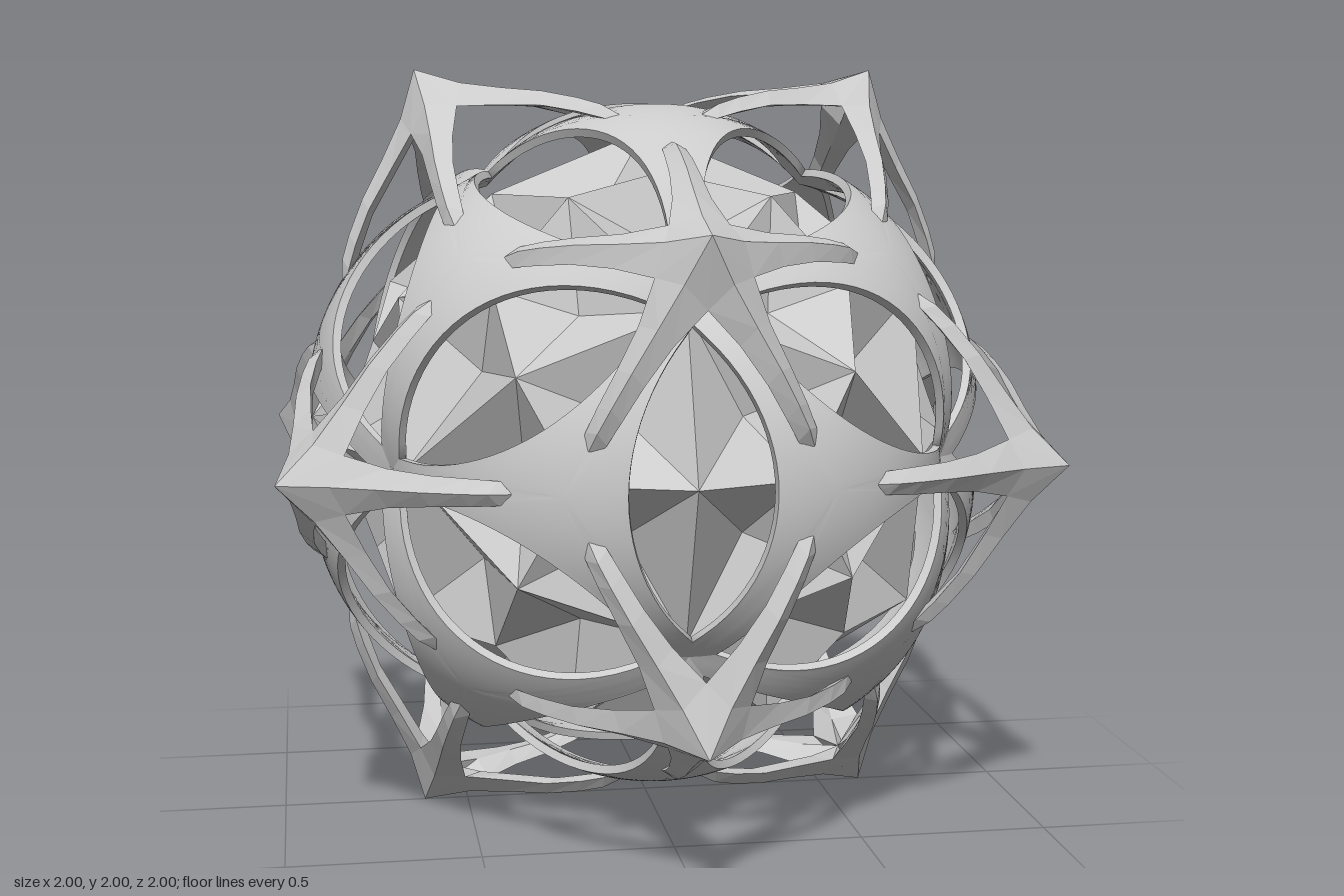
import * as THREE from 'three';

const V = (x, y, z) => new THREE.Vector3(x, y, z);
const G = (Math.sqrt(5) - 1) / 2;
const grey = (opts = {}) => new THREE.MeshStandardMaterial({ color: 0xcccccc, ...opts });

// The twelve corners of an icosahedron and its twenty triangles
const corners = [];
for (const a of [-1, 1]) for (const b of [-1, 1]) {
  corners.push(V(a * G, b, 0), V(0, a * G, b), V(b, 0, a * G));
}
const near = (a, b) => a.distanceTo(b) < 1.3;
const faces = [];
for (let i = 0; i < 12; i++) for (let j = i + 1; j < 12; j++) for (let k = j + 1; k < 12; k++) {
  const [a, b, c] = [corners[i], corners[j], corners[k]];
  if (near(a, b) && near(b, c) && near(a, c)) {
    // counter-clockwise seen from outside
    const n = b.clone().sub(a).cross(c.clone().sub(a));
    faces.push(n.dot(a) > 0 ? [a, b, c] : [a, c, b]);
  }
}
const faceCentre = (f) => f[0].clone().add(f[1]).add(f[2]).normalize();

function buildGeometry(points, index) {
  const g = new THREE.BufferGeometry().setFromPoints(points);
  g.setIndex(index);
  return g;
}

// Domed three-armed shell panel: a triangle with a lens cut out along each side
function shellPanel(face) {
  const SEG = 28, RINGS = 10, HALF = 0.5536, LENS = 0.47, WIDTH = 0.195, INNER = 0.975;
  const c = faceCentre(face);
  const rim = [];
  for (let e = 0; e < 3; e++) {
    const a = face[e].clone().normalize(), b = face[(e + 1) % 3].clone().normalize();
    const mid = a.clone().add(b).normalize();
    const along = b.clone().sub(a).normalize();
    const inward = mid.clone().cross(along);
    if (inward.dot(c) < 0) inward.negate();
    for (let i = 0; i < SEG; i++) {
      const s = HALF * (2 * i / SEG - 1);
      const h = Math.max(0, WIDTH * (1 - (s / LENS) ** 2));
      rim.push(mid.clone().multiplyScalar(Math.cos(s)).addScaledVector(along, Math.sin(s))
        .multiplyScalar(Math.cos(h)).addScaledVector(inward, Math.sin(h)));
    }
  }
  const n = rim.length, points = [c.clone().multiplyScalar(0.935)], index = [];
  for (let r = 1; r <= RINGS; r++) {
    rim.forEach((p, i) => {
      const d = c.clone().lerp(p, r / RINGS).normalize();
      const fall = d.angleTo(c) / 0.652;
      points.push(d.multiplyScalar(0.935 - 0.1 * fall * fall));
      const j = (i + 1) % n, o = 1 + (r - 1) * n, q = o - n;
      if (r === 1) index.push(0, o + i, o + j);
      else index.push(q + i, o + i, o + j, q + i, o + j, q + j);
    });
  }
  // inside skin and the wall along the rim
  const skin = points.length, skinIndex = index.length;
  for (let i = 0; i < skin; i++) points.push(points[i].clone().multiplyScalar(INNER));
  for (let i = 0; i < skinIndex; i += 3) {
    index.push(skin + index[i], skin + index[i + 2], skin + index[i + 1]);
  }
  const outer = points.slice(skin - n, skin), wall = points.length;
  outer.forEach((p) => points.push(p.clone(), p.clone().multiplyScalar(INNER)));
  for (let i = 0; i < n; i++) {
    const o = wall + 2 * i, p = wall + 2 * ((i + 1) % n);
    index.push(o, o + 1, p + 1, o, p + 1, p);
  }
  const g = buildGeometry(points, index);
  g.computeVertexNormals();
  return g;
}

// Ridged spike arm: [distance from axis, ridge, half width, side, underside]
const ARM = [
  [0, 1.1756, 0, 1.1756, 1.06],
  [0.1, 1.085, 0.073, 1.04, 1.02],
  [0.2, 1.02, 0.048, 0.985, 0.965],
  [0.3, 0.96, 0.038, 0.93, 0.91],
  [0.38, 0.9, 0.034, 0.87, 0.845],
  [0.43, 0.855, 0.03, 0.825, 0.8],
  [0.46, 0.81, 0.022, 0.79, 0.775],
];
function spikeArm(corner, target) {
  const n = corner.clone().normalize();
  const u = target.clone().addScaledVector(n, -target.dot(n)).normalize();
  const w = n.clone().cross(u);
  const at = (d, h, s) => n.clone().multiplyScalar(h).addScaledVector(u, d).addScaledVector(w, s);
  const points = [], index = [];
  ARM.forEach(([d, top, half, side, under], i) => {
    points.push(at(d, top, 0), at(d, side, half), at(d, under, 0), at(d, side, -half));
    if (i === 0) return;
    const o = i * 4, p = o - 4;
    for (let k = 0; k < 4; k++) {
      const m = (k + 1) % 4;
      index.push(p + k, o + k, o + m, p + k, o + m, p + m);
    }
  });
  const e = (ARM.length - 1) * 4;
  index.push(e, e + 2, e + 1, e, e + 3, e + 2);
  const g = buildGeometry(points, index).toNonIndexed();
  g.computeVertexNormals();
  return g;
}

// Faceted core: peaks in the lens openings, ridges to corners and face centres, pits between
function coreGeometry() {
  const PEAK = 0.84, CORNER = 0.79, CENTRE = 0.79, PIT = 0.66;
  const points = [];
  for (const face of faces) {
    const centre = faceCentre(face);
    for (let e = 0; e < 3; e++) {
      const v = face[e].clone().normalize();
      const pit = v.clone().lerp(centre, 0.6).setLength(PIT);
      const next = face[e].clone().add(face[(e + 1) % 3]).setLength(PEAK);
      const last = face[e].clone().add(face[(e + 2) % 3]).setLength(PEAK);
      const top = v.setLength(CORNER), c = centre.clone().setLength(CENTRE);
      points.push(top, next, pit, next, c, pit, c, last, pit, last, top, pit);
    }
  }
  const g = new THREE.BufferGeometry().setFromPoints(points);
  g.computeVertexNormals();
  return g;
}

export function createModel() {
  const model = new THREE.Group();
  model.name = 'starBall';
  const body = new THREE.Group();
  body.name = 'body';
  body.position.y = 1;
  model.add(body);
  const add = (parent, name, geometry, material) => {
    const mesh = new THREE.Mesh(geometry, material);
    mesh.name = name;
    parent.add(mesh);
  };

  // Pierced outer shell
  const shell = new THREE.Group();
  shell.name = 'shell';
  const shellMaterial = grey({ side: THREE.DoubleSide });
  faces.forEach((f) => add(shell, 'shellPanel', shellPanel(f), shellMaterial));
  body.add(shell);

  // Five-armed spikes standing on the shell
  const spikeMaterial = grey({ flatShading: true, side: THREE.DoubleSide });
  for (const corner of corners) {
    const spike = new THREE.Group();
    spike.name = 'spike';
    faces.filter((f) => f.includes(corner)).forEach((f) =>
      add(spike, 'spikeArm', spikeArm(corner, faceCentre(f)), spikeMaterial));
    body.add(spike);
  }

  add(body, 'core', coreGeometry(), grey({ flatShading: true }));
  return model;
}
